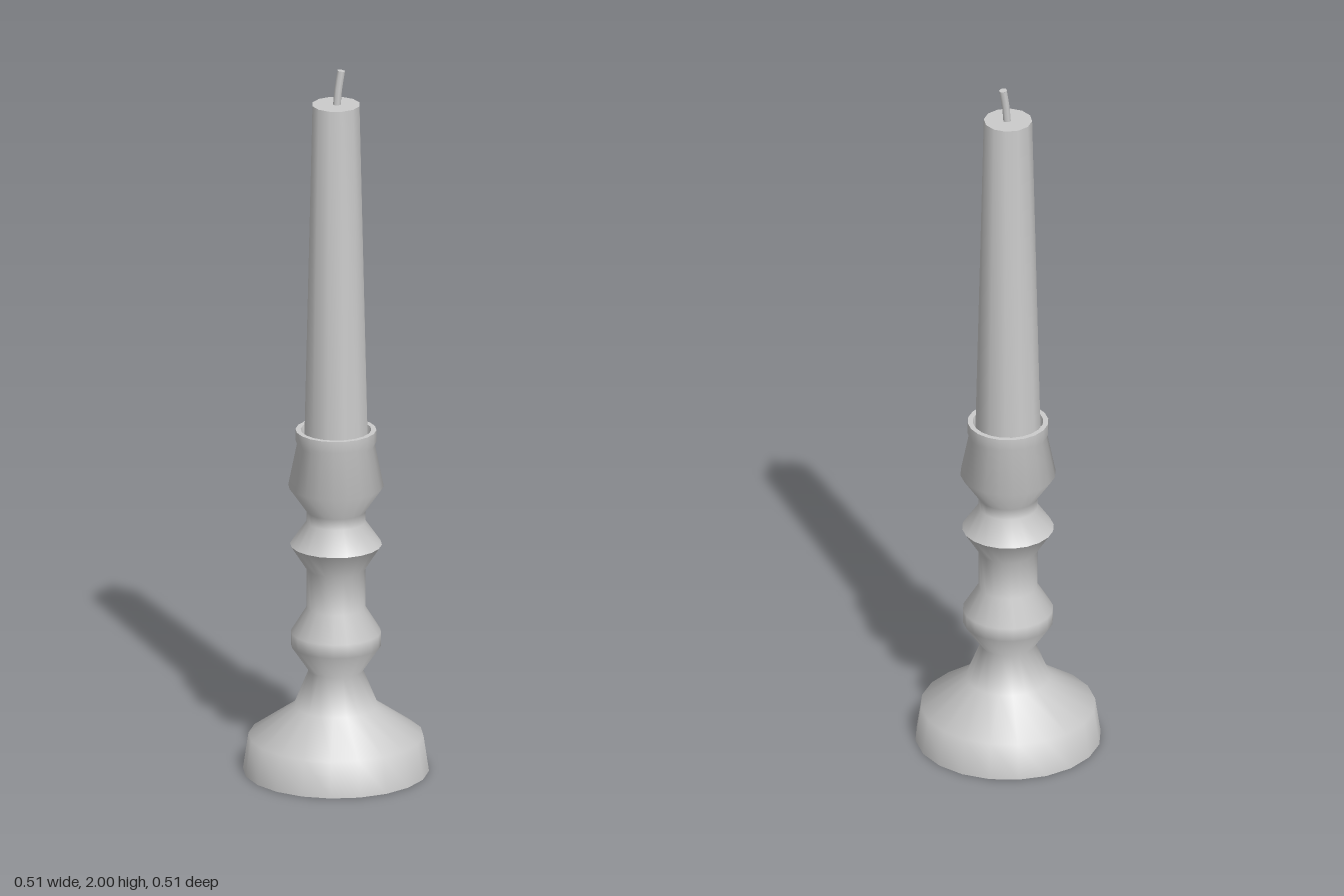
import * as THREE from 'three';
import { toCreasedNormals } from 'three/addons/utils/BufferGeometryUtils.js';

const material = new THREE.MeshStandardMaterial({ color: 0xcccccc });

// Turned part: profile points [radius, height] listed from the bottom up
function turned(name, profile, sides) {
  const points = profile.map(([r, y]) => new THREE.Vector2(r, y));
  const geometry = toCreasedNormals(new THREE.LatheGeometry(points, sides), 1.05);
  const mesh = new THREE.Mesh(geometry, material);
  mesh.name = name;
  return mesh;
}

export function createModel() {
  const group = new THREE.Group();
  group.name = 'candlestick';

  // Holder: wide foot, two knobs on the stem, cup with a flat rim
  group.add(turned('holder', [
    [0, 0], [0.253, 0], [0.238, 0.1], [0.115, 0.185], [0.074, 0.285],
    [0.123, 0.357], [0.123, 0.395], [0.08, 0.465], [0.08, 0.575],
    [0.125, 0.645], [0.08, 0.71], [0.08, 0.74], [0.13, 0.812],
    [0.106, 0.93], [0.11, 0.94], [0.11, 0.972], [0.096, 0.972],
    [0.09, 0.95], [0, 0.95],
  ], 20));

  // Tapered candle
  group.add(turned('candle', [[0, 0.94], [0.089, 0.94], [0.066, 1.902], [0, 1.902]], 12));

  // Leaning wick with a slight bend and a closed tip
  const path = new THREE.CatmullRomCurve3([
    new THREE.Vector3(0.002, 1.89, 0),
    new THREE.Vector3(0.006, 1.94, 0),
    new THREE.Vector3(0.015, 1.997, 0),
  ]);
  const wick = new THREE.Mesh(new THREE.TubeGeometry(path, 4, 0.011, 8), material);
  wick.name = 'wick';
  group.add(wick);

  const tip = new THREE.Mesh(new THREE.CircleGeometry(0.011, 8), material);
  tip.name = 'wickTip';
  tip.position.copy(path.getPoint(1));
  tip.quaternion.setFromUnitVectors(new THREE.Vector3(0, 0, 1), path.getTangent(1));
  group.add(tip);

  return group;
}
